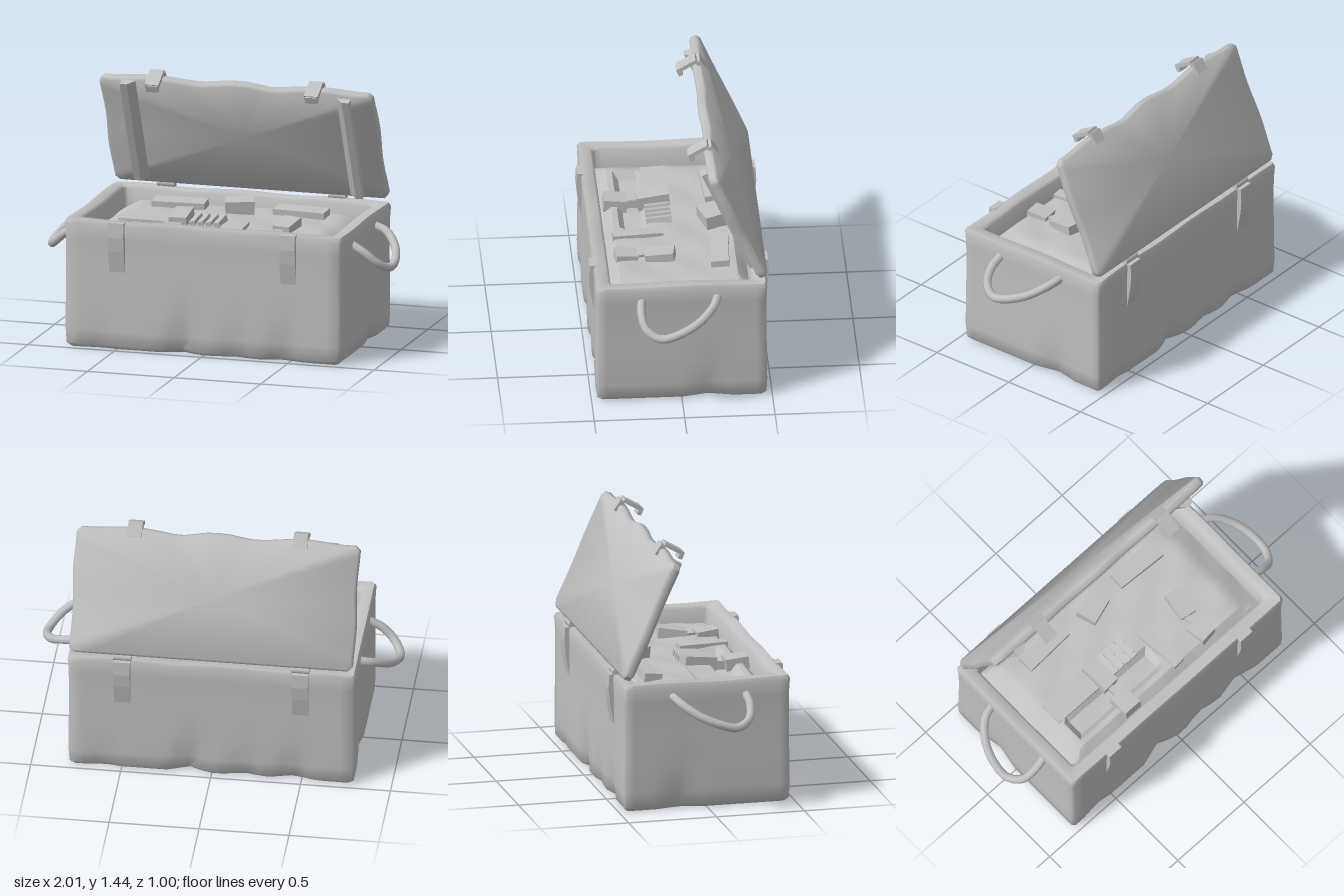
import * as THREE from 'three';
import { toCreasedNormals } from 'three/addons/utils/BufferGeometryUtils.js';

const STEPS = 24;

// Chamfered rectangle, walked front, right, back, left
function ring(hx, hz, y, r = 0.015) {
  const pts = [];
  const corners = [[-1, 1, 1, 1], [1, 1, 1, -1], [1, -1, -1, -1], [-1, -1, -1, 1]];
  corners.forEach(([ax, az, bx, bz]) => {
    const alongX = az === bz;
    for (let i = 0; i <= STEPS; i++) {
      const t = i / STEPS;
      const u = THREE.MathUtils.lerp(alongX ? ax : az, alongX ? bx : bz, t);
      pts.push(alongX ? [u * (hx - r), y, az * hz] : [ax * hx, y, u * (hz - r)]);
    }
  });
  return pts;
}

// Skin through rings from bottom to top; warp moves each point
function loft(rings, warp, capTop) {
  const n = rings[0].length, pos = [], idx = [];
  rings.forEach((r, k) => r.forEach(p => pos.push(...warp(p[0], p[1], p[2], k))));
  for (let k = 0; k < rings.length - 1; k++) {
    for (let j = 0; j < n; j++) {
      const a = k * n + j, b = k * n + (j + 1) % n;
      idx.push(a, b, b + n, a, b + n, a + n);
    }
  }
  const cap = (k, up) => {
    const c = pos.length / 3;
    pos.push(0, rings[k][0][1], 0);
    for (let j = 0; j < n; j++) {
      const a = k * n + j, b = k * n + (j + 1) % n;
      idx.push(c, up ? a : b, up ? b : a);
    }
  };
  cap(0, false);
  if (capTop) cap(rings.length - 1, true);
  const g = new THREE.BufferGeometry();
  g.setAttribute('position', new THREE.Float32BufferAttribute(pos, 3));
  g.setIndex(idx);
  return toCreasedNormals(g, 0.9);
}

const bump = (v, c, w) => Math.max(0, 1 - Math.abs(v - c) / w);

export function createModel() {
  const model = new THREE.Group();
  const grey = new THREE.MeshStandardMaterial({ color: 0xc0c0c0 });
  grey.name = 'plain grey';

  const add = (parent, name, geo, x = 0, y = 0, z = 0, rx = 0, ry = 0, rz = 0) => {
    const m = new THREE.Mesh(geo, grey);
    m.name = name;
    m.position.set(x, y, z);
    m.rotation.set(rx, ry, rz);
    parent.add(m);
    return m;
  };
  const box = (w, h, d) => new THREE.BoxGeometry(w, h, d);

  // Chest: outer walls, rim and inner walls, worn along the bottom edges
  const levels = [
    [0.77, 0.45, 0], [0.79, 0.468, 0.02], [0.795, 0.472, 0.1], [0.795, 0.47, 0.25],
    [0.793, 0.468, 0.45], [0.795, 0.468, 0.62], [0.8, 0.472, 0.7], [0.79, 0.464, 0.72],
    [0.735, 0.405, 0.72], [0.72, 0.39, 0.705], [0.71, 0.385, 0.56],
  ];
  const chips = [[-0.13, 0.11, 0.05], [0.18, 0.12, 0.025], [0.45, 0.14, 0.035], [-0.6, 0.1, 0.015]];
  const wear = (x, y, z) => {
    const low = Math.max(0, 1 - y / 0.22);
    if (Math.abs(z) > 0.44) {
      chips.forEach(([c, w, d]) => { z -= Math.sign(z) * d * low * bump(x * Math.sign(z), c, w); });
    }
    if (Math.abs(x) > 0.76) x -= Math.sign(x) * 0.03 * low * bump(z, -0.15, 0.14);
    if (y > 0.69) y += 0.004 * Math.sin(x * 11 + z * 9);
    return [x, y, z];
  };
  add(model, 'chest', loft(levels.map(([a, b, y]) => ring(a, b, y)), wear, false));

  // Packed bed inside, domed towards the middle
  const bed = new THREE.PlaneGeometry(1.43, 0.78, 40, 24).rotateX(-Math.PI / 2);
  const p = bed.attributes.position;
  for (let i = 0; i < p.count; i++) {
    const x = p.getX(i), z = p.getZ(i);
    const edge = Math.min(1, (0.715 - Math.abs(x)) / 0.12, (0.39 - Math.abs(z)) / 0.06);
    const groove = x > -0.56 && x < 0.06 && z > 0.14 && z < 0.28 ? 0.04 : 0;
    p.setY(i, 0.595 + 0.065 * edge - groove + 0.006 * Math.sin(x * 17) * Math.cos(z * 21));
  }
  bed.computeVertexNormals();
  add(model, 'packedBed', toCreasedNormals(bed, 0.6));

  // Packed pieces: x, y, z, width, height, depth, turn, tilt
  const contents = new THREE.Group();
  contents.name = 'contents';
  model.add(contents);
  [
    [-0.24, 0.675, 0.09, 0.1, 0.08, 0.18, 0.05, 0.12],
    [-0.24, 0.66, 0.3, 0.11, 0.07, 0.13, 0, -0.1],
    [-0.24, 0.65, 0.21, 0.03, 0.05, 0.08, 0, 0],
    [0.37, 0.67, 0.09, 0.1, 0.07, 0.16, -0.15, 0.15],
    [0.35, 0.66, 0.28, 0.1, 0.06, 0.12, 0.1, -0.1],
    [0.35, 0.65, 0.2, 0.03, 0.05, 0.08, 0.2, 0],
    [-0.44, 0.655, 0.07, 0.3, 0.03, 0.14, 0, 0.05],
    [0.12, 0.66, 0.2, 0.07, 0.04, 0.28, 0.08, 0],
    [0, 0.69, -0.22, 0.16, 0.09, 0.12, 0.3, 0.1],
    [-0.35, 0.67, -0.24, 0.3, 0.06, 0.1, 0.05, 0.1],
    [0.35, 0.67, -0.24, 0.3, 0.06, 0.1, -0.05, 0.1],
  ].forEach(([x, y, z, w, h, d, ry, rx]) => add(contents, 'packedPiece', box(w, h, d), x, y, z, rx, ry));
  for (let i = 0; i < 4; i++) {
    add(contents, 'slat', box(0.035, 0.05, 0.14), -0.16 + i * 0.047, 0.66, 0.07, 0.1, 0, 0.25);
  }

  // Lid, modelled closed with its hinge edge at the pivot and swung open
  const lid = new THREE.Group();
  lid.name = 'lid';
  lid.position.set(0, 0.76, -0.478);
  lid.rotation.x = -1.158;
  model.add(lid);
  const dented = (x, y, z) => {
    if (z > 0.32) z += 0.008 * Math.cos(x * 13) - 0.012 * bump(x, 0.2, 0.13) - 0.008 * bump(x, -0.2, 0.15);
    if (Math.abs(x) > 0.76) x += 0.005 * Math.sin(z * 14);
    return [x, y, z];
  };
  const lidRings = [[0.775, 0.342, -0.058], [0.788, 0.355, -0.046], [0.788, 0.355, -0.012], [0.775, 0.342, 0]];
  add(lid, 'lidPanel', loft(lidRings.map(([a, b, y]) => ring(a, b, y, 0.025)), dented, true), 0, 0, 0.355);

  // Battens under the lid: sharp outer edge, sloping inwards
  const wedge = new THREE.Shape([[0.66, -0.05], [0.57, -0.05], [0.62, -0.095], [0.66, -0.095]]
    .map(([x, y]) => new THREE.Vector2(x, y)));
  const batten = new THREE.ExtrudeGeometry(wedge, { depth: 0.66, bevelEnabled: false });
  add(lid, 'lidBattenLeft', batten, 0, 0, 0.02);
  add(lid, 'lidBattenRight', batten, 0, 0, 0.7, 0, Math.PI);

  // Latches: a strap over the lid edge with a hooked tip
  [-0.46, 0.46].forEach(x => {
    add(lid, 'latchStrap', box(0.08, 0.12, 0.022), x, -0.075, 0.737, 0.12);
    add(lid, 'latchBack', box(0.08, 0.03, 0.07), x, -0.004, 0.705, 0.2);
    add(lid, 'latchHook', box(0.07, 0.025, 0.04), x, -0.13, 0.715);
  });

  // Tapered fittings: catches in front, hinge plates behind
  const profile = new THREE.Shape([[0, 0.44], [0.022, 0.56], [0.03, 0.64], [0.025, 0.722], [-0.012, 0.722]]
    .map(([x, y]) => new THREE.Vector2(x, y)));
  const fitting = new THREE.ExtrudeGeometry(profile, { depth: 0.09, bevelEnabled: false })
    .translate(0, 0, -0.045).rotateY(-Math.PI / 2);
  [-0.495, 0.495].forEach(x => {
    add(model, 'frontCatch', fitting, x, 0, 0.468);
    add(model, 'hingePlate', fitting, x, 0, -0.468, 0, Math.PI);
    add(model, 'hingeKnuckle', new THREE.CylinderGeometry(0.022, 0.022, 0.1, 10), x, 0.735, -0.452, 0, 0, Math.PI / 2);
  });

  // Drooping rope handles
  const path = [[0.77, 0.65, -0.2], [0.86, 0.625, -0.17], [0.94, 0.565, -0.08], [0.978, 0.515, 0.04],
    [0.975, 0.495, 0.13], [0.93, 0.53, 0.205], [0.86, 0.59, 0.228], [0.77, 0.64, 0.22]];
  [1, -1].forEach(s => {
    const curve = new THREE.CatmullRomCurve3(path.map(([x, y, z]) => new THREE.Vector3(s * x, y, z)));
    add(model, s > 0 ? 'handleLeft' : 'handleRight', new THREE.TubeGeometry(curve, 36, 0.024, 8));
  });

  return model;
}
